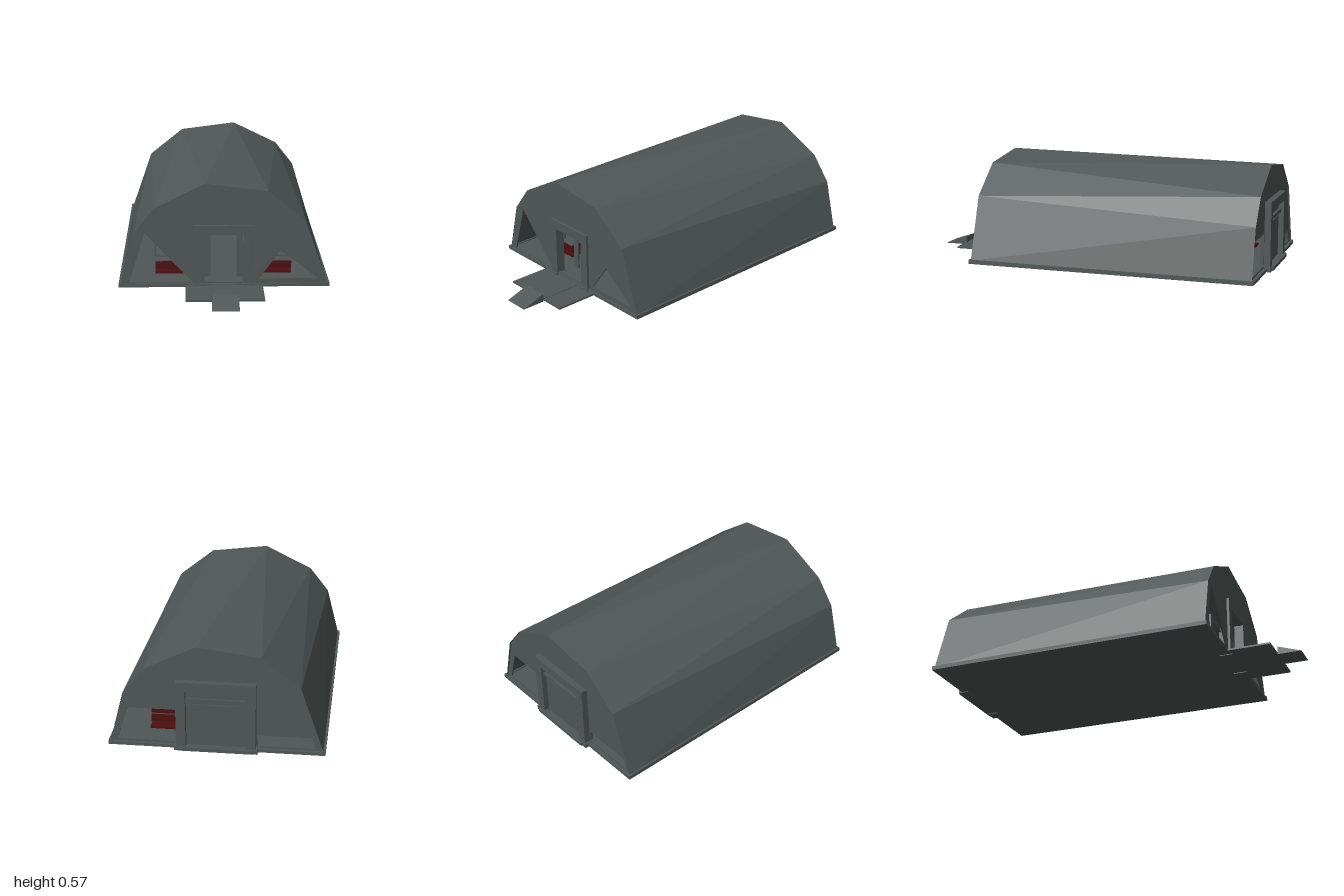
import * as THREE from 'three';

const grey = new THREE.MeshStandardMaterial({ color: 0x505756, side: THREE.DoubleSide, flatShading: true });
grey.name = 'weathered grey metal';
const red = new THREE.MeshStandardMaterial({ color: 0x4e0e0e, flatShading: true });
red.name = 'dark red upholstery';

// Arch at the front end; the back end is its mirror image, so the roof twists slightly
const FRONT = [[-0.55, 0.02], [-0.48, 0.295], [-0.37, 0.435], [-0.1, 0.567], [0.23, 0.525], [0.43, 0.365], [0.55, 0.02]];
const BACK = FRONT.map(([x, y]) => [-x, y]).reverse();
const Z0 = 0.62, Z1 = -0.96;

function add(parent, name, geometry, material = grey) {
  const mesh = new THREE.Mesh(geometry, material);
  mesh.name = name;
  parent.add(mesh);
  return mesh;
}

// Box given by its limits on each axis
function box(parent, name, x0, x1, y0, y1, z0, z1, material = grey) {
  const mesh = add(parent, name, new THREE.BoxGeometry(x1 - x0, y1 - y0, z1 - z0), material);
  mesh.position.set((x0 + x1) / 2, (y0 + y1) / 2, (z0 + z1) / 2);
  return mesh;
}

// Loft between the two arches
function shellGeometry() {
  const pos = [];
  for (let i = 0; i < FRONT.length - 1; i++) {
    const a = [...FRONT[i], Z0], b = [...FRONT[i + 1], Z0];
    const c = [...BACK[i], Z1], d = [...BACK[i + 1], Z1];
    pos.push(...a, ...b, ...c, ...b, ...d, ...c);
  }
  const g = new THREE.BufferGeometry();
  g.setAttribute('position', new THREE.Float32BufferAttribute(pos, 3));
  g.computeVertexNormals();
  return g;
}

// End wall cut with openings
function wall(parent, name, outline, holes, z) {
  const v = (p) => p.map(([x, y]) => new THREE.Vector2(x, y));
  const shape = new THREE.Shape(v(outline));
  for (const h of holes) shape.holes.push(new THREE.Path(v(h)));
  const g = new THREE.ExtrudeGeometry(shape, { depth: 0.008, bevelEnabled: false });
  add(parent, name, g).position.z = z;
}

// Door surround: two posts and a lintel
function doorFrame(parent, name, half, width, top, z0, z1) {
  const group = new THREE.Group();
  group.name = name;
  for (const s of [-1, 1]) {
    const c = s * (half - width / 2);
    box(group, 'post', c - width / 2, c + width / 2, 0.005, top, z0, z1);
  }
  box(group, 'lintel', -half + width, half - width, top - width, top, z0, z1);
  parent.add(group);
}

export function createModel() {
  const model = new THREE.Group();
  model.name = 'archedBarracks';

  // Floor, porch and ramp
  box(model, 'floor', -0.56, 0.56, 0.004, 0.02, -0.97, 0.63);
  box(model, 'porch', -0.205, 0.205, 0.004, 0.014, 0.63, 0.865);
  box(model, 'walkway', -0.07, 0.07, 0.014, 0.016, 0.63, 0.865);
  const wedge = new THREE.Shape([[-1, 0], [-0.868, 0], [-0.868, 0.045]].map(([x, y]) => new THREE.Vector2(x, y)));
  const ramp = add(model, 'ramp', new THREE.ExtrudeGeometry(wedge, { depth: 0.14, bevelEnabled: false }));
  ramp.rotation.y = Math.PI / 2;
  ramp.position.x = -0.07;

  // Roof shell, with a low kerb along each side
  add(model, 'roofShell', shellGeometry());
  for (const s of [-1, 1]) box(model, 'kerb', s * 0.55 - 0.01, s * 0.55 + 0.01, 0.015, 0.026, -0.97, 0.63);

  // End walls
  wall(model, 'frontWall', FRONT, [
    [[-0.42, 0.3], [-0.505, 0.026], [-0.165, 0.026]],
    [[0.3, 0.2], [0.185, 0.045], [0.5, 0.045]],
    [[-0.105, 0.026], [0.105, 0.026], [0.105, 0.29], [-0.105, 0.29]],
  ], 0.61);
  wall(model, 'backWall', BACK, [
    [[-0.51, 0.03], [-0.21, 0.03], [-0.21, 0.09], [-0.49, 0.09]],
    [[0.21, 0.03], [0.515, 0.03], [0.46, 0.21], [0.21, 0.21]],
  ], -0.95);

  // Front entrance with an inner surround
  doorFrame(model, 'frontDoorFrame', 0.155, 0.05, 0.342, 0.58, 0.632);
  doorFrame(model, 'innerDoorFrame', 0.105, 0.035, 0.29, 0.5, 0.51);

  // Back entrance with a closed, stepped door
  doorFrame(model, 'backDoorFrame', 0.205, 0.05, 0.38, -0.985, -0.93);
  box(model, 'backDoor', -0.155, 0.155, 0.02, 0.33, -0.955, -0.945);
  box(model, 'backDoorPanel', -0.12, 0.12, 0.03, 0.25, -0.962, -0.955);
  box(model, 'backDoorRail', -0.155, 0.155, 0.265, 0.285, -0.97, -0.955);
  box(model, 'backSill', -0.19, 0.19, 0.004, 0.022, -1, -0.97);

  // Shoes under the door posts
  for (const s of [-1, 1]) {
    box(model, 'frontPostShoe', s * 0.13 - 0.03, s * 0.13 + 0.03, 0, 0.022, 0.57, 0.642);
    box(model, 'backPostShoe', s * 0.18 - 0.035, s * 0.18 + 0.035, 0, 0.024, -0.99, -0.93);
  }

  // Furniture along both sides
  for (const s of [-1, 1]) {
    const side = new THREE.Group();
    side.name = s > 0 ? 'leftFurniture' : 'rightFurniture';
    const cx = s * 0.285;
    box(side, 'rug', cx - 0.085, cx + 0.085, 0.02, 0.034, -0.8, 0.45, red);
    for (const z of [-0.62, -0.16, 0.3]) {
      box(side, 'seat', cx - 0.085, cx + 0.085, 0.047, 0.09, z - 0.15, z + 0.15, red);
      box(side, 'seatTrim', cx - 0.085, cx + 0.085, 0.09, 0.096, z - 0.15, z + 0.15);
      box(side, 'backrest', cx - 0.085, cx + 0.085, 0.096, 0.23, z - 0.15, z - 0.11, red);
      // Grey rails in front of the backrest
      for (const x of [-0.045, 0.045]) box(side, 'railPost', cx + s * 0.04 + x - 0.004, cx + s * 0.04 + x + 0.004, 0.11, 0.22, z + 0.13, z + 0.14);
      box(side, 'rail', cx + s * 0.04 - 0.045, cx + s * 0.04 + 0.045, 0.11, 0.12, z + 0.13, z + 0.14);
    }
    model.add(side);
  }

  return model;
}
